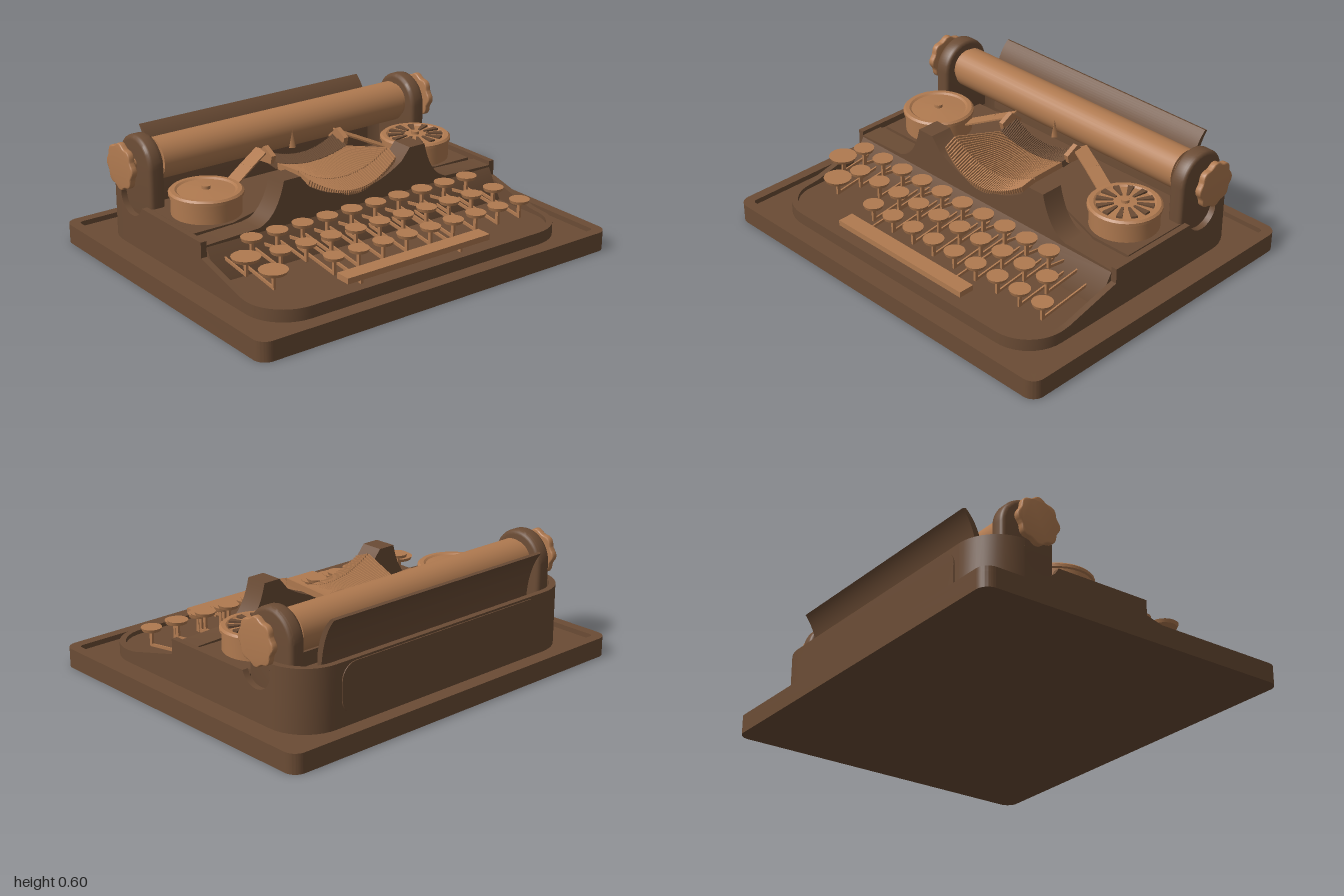
import * as THREE from 'three';
import { toCreasedNormals } from 'three/addons/utils/BufferGeometryUtils.js';

const dark = new THREE.MeshStandardMaterial({ color: 0x6b4c35, side: THREE.DoubleSide });
const light = new THREE.MeshStandardMaterial({ color: 0xb07a50, side: THREE.DoubleSide });

export function createModel() {
  const root = new THREE.Group();

  const add = (name, geo, mat, x = 0, y = 0, z = 0, parent = root) => {
    const m = new THREE.Mesh(geo, mat);
    m.name = name;
    m.position.set(x, y, z);
    parent.add(m);
    return m;
  };
  const group = (name) => {
    const g = new THREE.Group();
    g.name = name;
    root.add(g);
    return g;
  };
  const poly = (pts) => new THREE.Shape(pts.map(([a, b]) => new THREE.Vector2(a, b)));
  const extrude = (shape, depth, bevel = 0) => toCreasedNormals(new THREE.ExtrudeGeometry(shape, {
    depth, bevelEnabled: bevel > 0, bevelSize: bevel, bevelThickness: bevel, bevelSegments: 3, curveSegments: 16,
  }), 0.6);
  // plan shapes (x, z) grow down from their position; cross shapes (z, y) grow towards -x
  const plan = (shape, depth) => extrude(shape, depth).rotateX(Math.PI / 2);
  const cross = (shape, depth) => extrude(shape, depth).rotateY(-Math.PI / 2);
  const roundRect = (w, h, r, cls = THREE.Shape) => {
    const s = new cls();
    s.absarc(w - r, h - r, r, 0, Math.PI / 2);
    s.absarc(-w + r, h - r, r, Math.PI / 2, Math.PI);
    s.absarc(-w + r, -h + r, r, Math.PI, Math.PI * 1.5);
    s.absarc(w - r, -h + r, r, Math.PI * 1.5, Math.PI * 2);
    s.closePath();
    return s;
  };
  // thin bar between two points
  const bar = (name, a, b, w, h, mat, parent) => {
    const A = new THREE.Vector3(...a), B = new THREE.Vector3(...b);
    const m = add(name, new THREE.BoxGeometry(w, h, A.distanceTo(B)), mat, 0, 0, 0, parent);
    m.position.copy(A).add(B).multiplyScalar(0.5);
    m.lookAt(B);
    return m;
  };

  // base tray with raised rim
  add('trayFloor', plan(roundRect(0.825, 1, 0.06), 0.07), dark, 0, 0.07);
  const rim = roundRect(0.825, 1, 0.06);
  rim.holes.push(roundRect(0.775, 0.95, 0.02, THREE.Path));
  add('trayRim', plan(rim, 0.025), dark, 0, 0.095);

  // body wall: rounded plan, top edge follows the side profile
  const path = [[-0.71, 0, -1, 0, 0.37]];
  const corner = (cx, from, h) => {
    for (let i = 0; i <= 10; i++) {
      const a = from - (i / 10) * Math.PI / 2, c = Math.cos(a), s = Math.sin(a);
      path.push([cx + 0.2 * c, 0.66 + 0.2 * s, c, s, h]);
    }
  };
  corner(-0.51, Math.PI, 0.37);
  for (let i = 0; i <= 14; i++) {
    const a = Math.PI + (i / 14) * (Math.PI - 0.38);
    path.push([-0.42 + 0.095 * Math.cos(a), 0.86, 0, 1, 0.32 + 0.095 * Math.sin(a)]);
  }
  for (const [x, h] of [[-0.325, 0.285], [0.165, 0.285], [0.165, 0.21], [0.46, 0.135]]) path.push([x, 0.86, 0, 1, h]);
  corner(0.51, Math.PI / 2, 0.13);
  path.push([0.71, 0, 1, 0, 0.13]);
  const loop = path.concat(path.slice(1, -1).reverse().map(([x, z, nx, nz, h]) => [x, -z, nx, -nz, h]));
  const pos = [], idx = [];
  loop.forEach(([x, z, nx, nz, h], i) => {
    const xi = x - 0.03 * nx, zi = z - 0.03 * nz, n = ((i + 1) % loop.length) * 4;
    pos.push(x, 0.06, z, x, h, z, xi, h, zi, xi, 0.06, zi);
    for (let k = 0; k < 3; k++) {
      const a = i * 4 + k, b = n + k;
      idx.push(a, b, b + 1, a, b + 1, a + 1);
    }
  });
  const wall = new THREE.BufferGeometry();
  wall.setAttribute('position', new THREE.Float32BufferAttribute(pos, 3));
  wall.setIndex(idx);
  add('bodyWall', toCreasedNormals(wall, 0.6), dark);

  // inside of the body: floor, platen well, deck and slope behind the keys
  add('bodyFloor', plan(roundRect(0.69, 0.84, 0.18), 0.05), dark, 0, 0.11);
  const inner = poly([[-0.55, 0.08], [-0.55, 0.2], [-0.33, 0.2], [-0.33, 0.255], [0.165, 0.255], [0.25, 0.11], [0.25, 0.08]]);
  add('bodyInterior', extrude(inner, 1.66), dark, 0, 0, -0.83);
  add('deckPlate', plan(poly([[-0.33, -0.81], [0.03, -0.81], [0.03, -0.6], [-0.08, -0.27],
    [-0.08, 0.27], [0.03, 0.6], [0.03, 0.81], [-0.33, 0.81]]), 0.03), dark, 0, 0.27);
  add('backPanel', cross(roundRect(0.63, 0.12, 0.08), 0.01), dark, -0.705, 0.24);

  // front plate with two peaks and a cradle for the type bars
  const plate = new THREE.Shape();
  plate.moveTo(-0.83, 0.1);
  plate.lineTo(0.83, 0.1);
  plate.lineTo(0.83, 0.265);
  plate.lineTo(0.55, 0.275);
  plate.quadraticCurveTo(0.45, 0.3, 0.41, 0.47);
  plate.lineTo(0.32, 0.47);
  plate.lineTo(0.27, 0.41);
  plate.quadraticCurveTo(0, 0.24, -0.27, 0.41);
  plate.lineTo(-0.32, 0.47);
  plate.lineTo(-0.41, 0.47);
  plate.quadraticCurveTo(-0.45, 0.3, -0.55, 0.275);
  plate.lineTo(-0.83, 0.265);
  add('frontPlate', cross(plate, 0.115), dark, 0.165);

  // platen roller
  const platen = group('platen');
  platen.position.set(-0.46, 0.46, 0);
  const rod = (name, r, len, z = 0) => add(name, new THREE.CylinderGeometry(r, r, len, 32).rotateX(Math.PI / 2), light, 0, 0, z, platen);
  rod('roller', 0.1, 1.42);
  rod('rollerEnds', 0.085, 1.47);
  rod('rollerShaft', 0.025, 1.76);

  // end arms and scalloped knobs
  const arm = new THREE.Shape();
  arm.moveTo(-0.12, -0.26);
  arm.lineTo(0.12, -0.26);
  arm.absarc(0, 0, 0.12, 0, Math.PI);
  const knobPts = [];
  for (let i = 0; i < 64; i++) {
    const a = (i / 64) * Math.PI * 2, r = 0.103 + 0.006 * Math.cos(8 * a);
    knobPts.push([r * Math.cos(a), r * Math.sin(a)]);
  }
  for (const s of [1, -1]) {
    add('platenArm', extrude(arm, 0.04, 0.02), dark, -0.46, 0.455, s * 0.775 - 0.02);
    add('platenKnob', extrude(poly(knobPts), 0.02, 0.006), light, -0.46, 0.46, s * 0.88 - 0.01);
  }

  // curved paper rest behind the platen
  const rest = new THREE.Shape();
  rest.moveTo(-0.685, 0.555);
  rest.quadraticCurveTo(-0.62, 0.48, -0.605, 0.34);
  rest.lineTo(-0.6, 0.2);
  rest.lineTo(-0.575, 0.2);
  rest.lineTo(-0.58, 0.38);
  rest.quadraticCurveTo(-0.6, 0.5, -0.67, 0.56);
  add('paperRest', extrude(rest, 1.3), dark, 0, 0, -0.65);
  add('paperPointer', new THREE.ConeGeometry(0.02, 0.09, 4), light, -0.34, 0.44);

  // ribbon spools: one plain, one with radial spokes
  for (const s of [1, -1]) {
    const spool = group('ribbonSpool');
    spool.position.set(-0.155, 0, s * 0.62);
    const profile = [[0, 0.25], [0.165, 0.25], [0.165, 0.358], [0.175, 0.362], [0.175, 0.376], [0.165, 0.385],
      [0.145, 0.385], [0.135, 0.378], [0.05, 0.384], [0, 0.386]].map(([r, y]) => new THREE.Vector2(r, y));
    add('spoolDrum', toCreasedNormals(new THREE.LatheGeometry(profile, 32), 0.5), light, 0, 0, 0, spool);
    add('spoolHub', new THREE.CylinderGeometry(0.02, 0.02, 0.02, 16), light, 0, 0.39, 0, spool);
    if (s < 0) for (let i = 0; i < 12; i++) {
      const a = (i / 12) * Math.PI * 2;
      const spoke = poly([[0.055, -0.006], [0.135, -0.015], [0.135, 0.015], [0.055, 0.006]]);
      add('spoolSpoke', plan(spoke, 0.012), dark, 0, 0.389, 0, spool).rotation.y = a;
    }
    // ribbon running up to the printing point
    bar('ribbon', [-0.21, 0.34, s * 0.46], [-0.25, 0.4, s * 0.33], 0.075, 0.008, light, root);
    bar('ribbon', [-0.25, 0.4, s * 0.33], [-0.28, 0.45, s * 0.22], 0.075, 0.008, light, root);
    add('ribbonGuide', extrude(poly([[-0.32, 0.42], [-0.255, 0.475], [-0.19, 0.44], [-0.2, 0.4], [-0.3, 0.39]]), 0.025),
      light, 0, 0, s * 0.215 - 0.0125);
  }

  // basket of type bars
  const basket = group('typeBars');
  const count = 42;
  for (let i = 0; i < count; i++) {
    const u = (i / (count - 1)) * 2 - 1, q = u * u;
    const tip = [0.17 - 0.03 * q, 0.325 + 0.09 * q, 0.25 * u];
    const front = [0.07, 0.355 + 0.085 * q, 0.26 * u];
    const back = [-0.18, 0.355 + 0.035 * q, 0.2 * u];
    const head = [-0.3 + 0.03 * (1 - q), 0.375 + 0.055 * q, 0.23 * u];
    bar('typeBarFront', tip, front, 0.007, 0.03, light, basket);
    bar('typeBar', front, back, 0.006, 0.03, light, basket);
    bar('typeHead', back, head, 0.007, 0.035, dark, basket);
  }

  // keys: three staggered rows plus two larger keys
  const keys = group('keys');
  const key = (x, top, z, r) => {
    add('keyCap', new THREE.CylinderGeometry(r, r * 0.9, 0.016, 20), light, x, top - 0.008, z, keys);
    const foot = top - 0.095;
    bar('keyStem', [x, top - 0.01, z], [x, foot, z], 0.018, 0.012, light, keys);
    bar('keyLever', [0.16, Math.min(0.2, foot + 0.05), z], [x + 0.005, foot + 0.004, z], 0.008, 0.014, light, keys);
  };
  const rows = [[0.29, 0.31, -0.57, 10], [0.39, 0.262, -0.655, 10], [0.495, 0.215, -0.73, 9]];
  for (const [x, top, z0, n] of rows) for (let i = 0; i < n; i++) key(x, top, z0 + i * 0.1385, 0.05);
  key(0.36, 0.262, 0.755, 0.068);
  key(0.46, 0.215, 0.68, 0.068);

  // space bar on two levers
  add('spaceBar', new THREE.BoxGeometry(0.08, 0.028, 0.82), light, 0.625, 0.162, 0.02);
  for (const z of [-0.25, 0.325]) {
    bar('spaceBarStem', [0.62, 0.155, z], [0.62, 0.11, z], 0.018, 0.012, light, root);
    bar('spaceBarLever', [0.16, 0.18, z], [0.62, 0.125, z], 0.008, 0.014, light, root);
  }
  return root;
}
